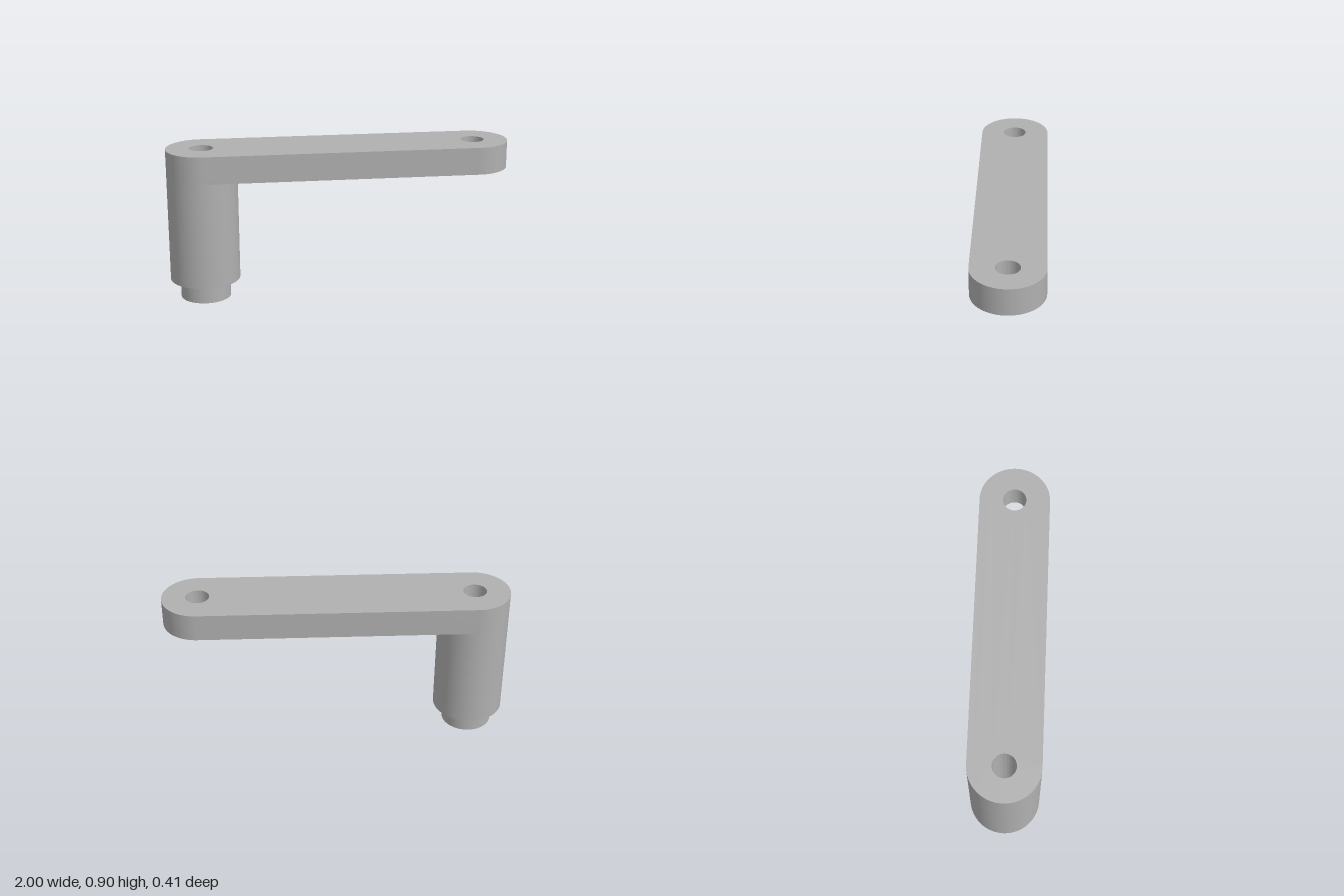
import * as THREE from 'three';
import { toCreasedNormals } from 'three/addons/utils/BufferGeometryUtils.js';

const END_X = 0.795;      // centre of each rounded end
const RADIUS = 0.205;     // half width of the arm and radius of the post
const BORE = 0.068;       // radius of the through holes
const ARM_BOTTOM = 0.74;
const ARM_TOP = 0.9;

export function createModel() {
  const group = new THREE.Group();
  group.name = 'crankArm';
  const metal = new THREE.MeshStandardMaterial({ color: 0xb0b0b0 });
  metal.name = 'grey metal';

  const addPart = (name, geometry) => {
    const mesh = new THREE.Mesh(toCreasedNormals(geometry, Math.PI / 6), metal);
    mesh.name = name;
    group.add(mesh);
    return mesh;
  };

  // Flat arm with rounded ends and a hole at each end
  const outline = new THREE.Shape();
  outline.absarc(END_X, 0, RADIUS, -Math.PI / 2, Math.PI / 2, false);
  outline.absarc(-END_X, 0, RADIUS, Math.PI / 2, Math.PI * 1.5, false);
  outline.closePath();
  for (const x of [-END_X, END_X]) {
    const hole = new THREE.Path();
    hole.absarc(x, 0, BORE, 0, Math.PI * 2, true);
    outline.holes.push(hole);
  }
  const armGeometry = new THREE.ExtrudeGeometry(outline, {
    depth: ARM_TOP - ARM_BOTTOM, bevelEnabled: false, curveSegments: 32,
  });
  armGeometry.rotateX(-Math.PI / 2);
  addPart('arm', armGeometry).position.y = ARM_BOTTOM;

  // Hollow post with a narrower collar at its foot, open where it meets the arm
  const profile = [
    [BORE, ARM_BOTTOM], [BORE, 0], [0.147, 0],
    [0.147, 0.113], [RADIUS, 0.113], [RADIUS, ARM_BOTTOM],
  ].map(([r, y]) => new THREE.Vector2(r, y));
  addPart('post', new THREE.LatheGeometry(profile, 64)).position.x = -END_X;

  return group;
}
